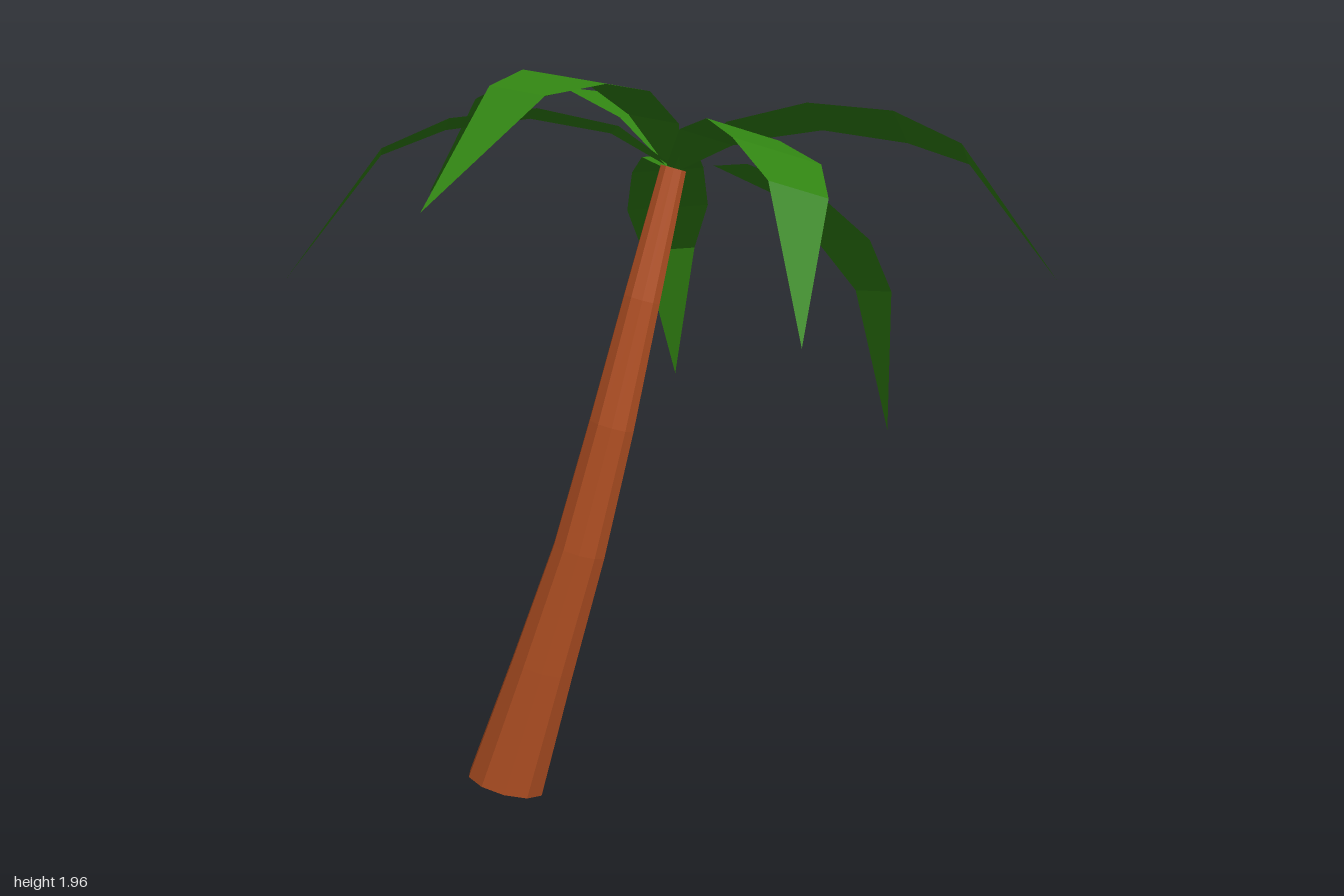
import * as THREE from 'three';

export function createModel() {
  const palm = new THREE.Group();
  palm.name = 'palmTree';
  const bark = new THREE.MeshStandardMaterial({ color: 0xb65224, flatShading: true, side: THREE.DoubleSide });
  bark.name = 'bark brown';
  const green = new THREE.MeshStandardMaterial({ color: 0x318412, flatShading: true, side: THREE.DoubleSide });
  green.name = 'leaf green';

  // Trunk: open tapered tube bent along its rings, listed from the top as x, y, z, radius
  const rings = [
    [0.0, 1.715, -0.185, 0.034],
    [-0.04, 1.38, -0.1, 0.048],
    [-0.093, 1.05, -0.038, 0.06],
    [-0.167, 0.71, 0.008, 0.07],
    [-0.265, 0.38, 0.045, 0.085],
    [-0.375, 0.03, 0.075, 0.105],
  ];
  const sides = 10;
  const tube = new THREE.CylinderGeometry(1, 1, 1, sides, rings.length - 1, true);
  const tp = tube.attributes.position;
  for (let i = 0; i < tp.count; i++) {
    const [x, y, z, r] = rings[Math.floor(i / (sides + 1))];
    const ox = tp.getX(i) * r, oz = tp.getZ(i) * r;
    // Each ring leans with the trunk
    tp.setXYZ(i, x + ox, y - 0.2 * ox + 0.2 * oz, z + oz);
  }
  tube.computeVertexNormals();
  const trunk = new THREE.Mesh(tube, bark);
  trunk.name = 'trunk';
  palm.add(trunk);

  // Frond: flat arched blade, sections as distance along, height, width
  const sections = [
    [0, 0, 0.04],
    [0.12, 0.135, 0.15],
    [0.31, 0.23, 0.2],
    [0.53, 0.262, 0.235],
    [0.71, 0.24, 0.155],
    [1.03, 0, 0],
  ];
  const blade = new THREE.PlaneGeometry(1, 1, sections.length - 1, 1);
  const bp = blade.attributes.position;
  for (let i = 0; i < bp.count; i++) {
    const [d, h, w] = sections[i % sections.length];
    bp.setXYZ(i, d, h, -bp.getY(i) * w);
  }
  blade.computeVertexNormals();

  // Crown: seven fronds as heading, pitch and roll in degrees
  const crown = new THREE.Group();
  crown.name = 'crown';
  crown.position.set(0, 1.715, -0.185);
  const fronds = [
    [88, -3, 8],
    [40, -19, 17],
    [-11, -14, 22],
    [-63, -47, 6],
    [-123, -40, 5],
    [191, -6, -5],
    [134.5, -15, -9],
  ];
  const rad = THREE.MathUtils.degToRad;
  fronds.forEach(([heading, pitch, roll], i) => {
    const frond = new THREE.Mesh(blade, green);
    frond.name = 'frond' + (i + 1);
    frond.rotation.set(rad(-roll), rad(-heading), rad(pitch), 'YZX');
    crown.add(frond);
  });
  palm.add(crown);
  return palm;
}
